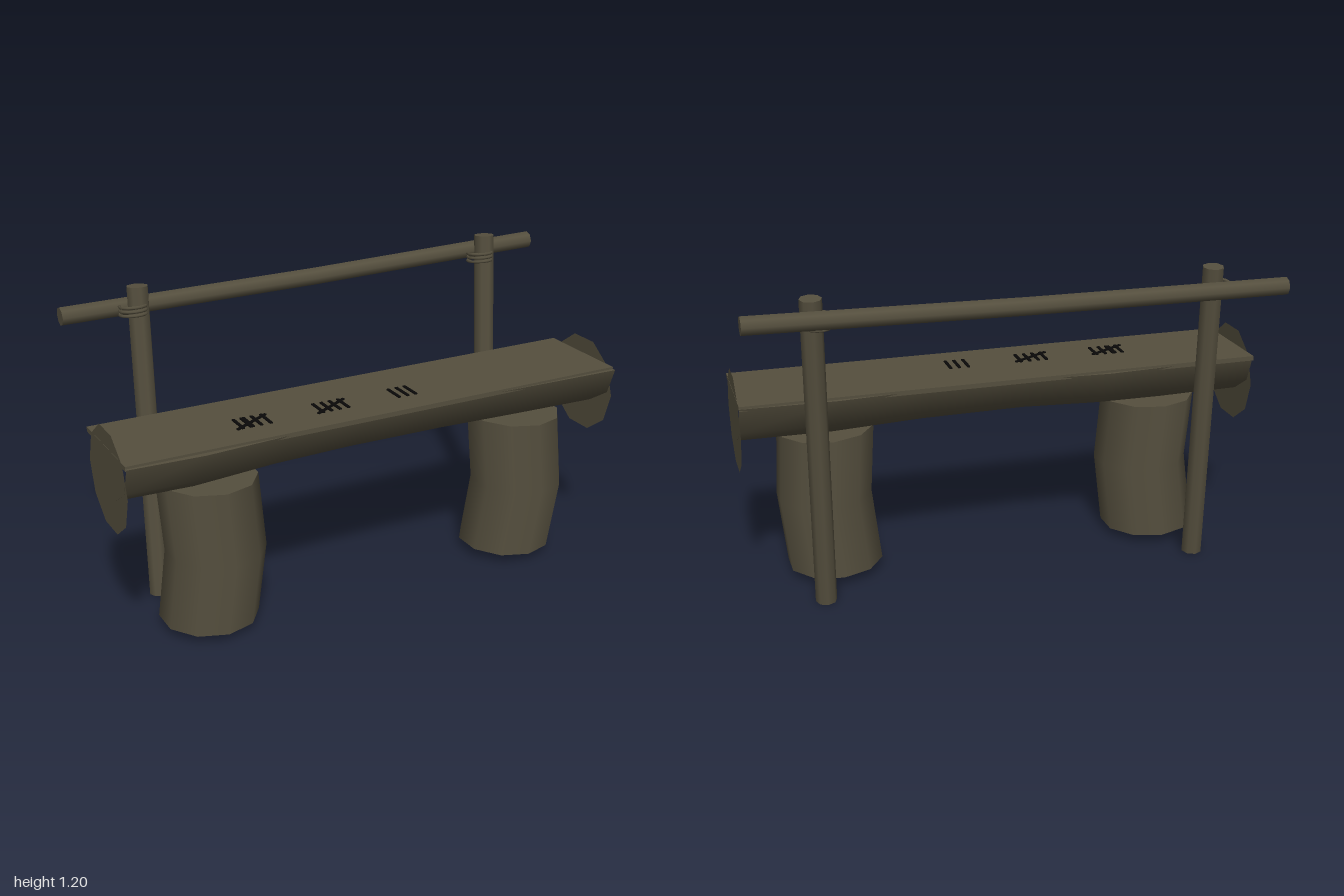
import * as THREE from 'three';

const wood = new THREE.MeshStandardMaterial({ color: 0x554f3e });
wood.name = 'weatheredWood';
const woodThin = new THREE.MeshStandardMaterial({ color: 0x554f3e, side: THREE.DoubleSide });
woodThin.name = 'weatheredWoodThin';
const charcoal = new THREE.MeshStandardMaterial({ color: 0x0a0908 });
charcoal.name = 'charcoal';

const V = (x, y, z) => new THREE.Vector3(x, y, z);

function add(parent, name, geometry, material = wood) {
  const mesh = new THREE.Mesh(geometry, material);
  mesh.name = name;
  parent.add(mesh);
  return mesh;
}

// Cylinder with a middle ring pushed sideways, so the log looks crooked
function crookedLog(length, radius, sides, bend) {
  const g = new THREE.CylinderGeometry(radius, radius, length, sides, 2);
  const p = g.attributes.position;
  for (let i = 0; i < p.count; i++) {
    const k = 1 - Math.abs(p.getY(i)) / (length / 2);
    p.setX(i, p.getX(i) + bend[0] * k);
    p.setZ(i, p.getZ(i) + bend[1] * k);
  }
  return g;
}

// Stand a mesh between two end points
function span(mesh, a, b) {
  mesh.position.copy(a).add(b).multiplyScalar(0.5);
  mesh.quaternion.setFromUnitVectors(V(0, 1, 0), b.clone().sub(a).normalize());
  return mesh;
}

// Round underside of the split log: half a decagon swept through uneven rings
function halfLog() {
  // x, front edge z, back edge z, bottom y
  const rings = [
    [-1, 0.322, -0.07, 0.592], [-0.72, 0.334, -0.075, 0.588], [-0.4, 0.312, -0.092, 0.597],
    [-0.1, 0.306, -0.07, 0.605], [0.3, 0.307, -0.07, 0.602], [0.65, 0.317, -0.093, 0.592],
    [1, 0.327, -0.08, 0.59],
  ];
  const steps = 5, pos = [], idx = [];
  for (const [x, front, back, bottom] of rings) {
    const mid = (front + back) / 2, half = (front - back) / 2;
    for (let j = 0; j <= steps; j++) {
      const a = (j / steps) * Math.PI;
      pos.push(x, 0.76 - (0.76 - bottom) * Math.sin(a) / Math.sin(Math.PI * 0.4), mid + half * Math.cos(a));
    }
  }
  const n = steps + 1;
  for (let i = 0; i < rings.length - 1; i++) {
    for (let j = 0; j < steps; j++) {
      const a = i * n + j, b = a + 1, c = a + n, d = c + 1;
      idx.push(a, b, c, b, d, c);
    }
  }
  const g = new THREE.BufferGeometry();
  g.setAttribute('position', new THREE.Float32BufferAttribute(pos, 3));
  g.setIndex(idx);
  g.computeVertexNormals();

  // Uneven rim, closing the half log from above
  const edge = [...rings.map(r => [r[0], r[1]]), ...rings.map(r => [r[0], r[2]]).reverse()];
  const rim = new THREE.ShapeGeometry(new THREE.Shape(edge.map(([x, z]) => new THREE.Vector2(x, -z))));
  rim.rotateX(-Math.PI / 2).translate(0, 0.76, 0);
  return [g, rim];
}

export function createModel() {
  const model = new THREE.Group();
  model.name = 'logBench';

  // Seat: half log, flat top and round end faces
  const seat = new THREE.Group();
  seat.name = 'seat';
  model.add(seat);
  const [underside, rim] = halfLog();
  add(seat, 'seatUnderside', underside);
  add(seat, 'seatRim', rim);
  add(seat, 'seatTop', new THREE.BoxGeometry(2, 0.018, 0.39)).position.set(0, 0.76, 0.117);
  for (const s of [-1, 1]) {
    const end = add(seat, 'seatEnd', new THREE.CircleGeometry(0.194, 10), woodThin);
    end.rotation.y = s * Math.PI / 2;
    end.position.set(s * 0.999, 0.647, 0.122);
  }

  // Stump legs
  for (const [name, x0, x1] of [['rightLeg', -0.652, -0.64], ['leftLeg', 0.648, 0.665]]) {
    const leg = add(model, name, crookedLog(0.553, 0.184, 10, [0.02, 0.025]));
    span(leg, V(x0, 0.036, 0.125), V(x1, 0.588, 0.127));
  }

  // Backrest posts with rope lashings
  for (const [name, x0, x1, ropeX] of [['right', -0.74, -0.722, -0.745], ['left', 0.734, 0.755, 0.732]]) {
    const post = add(model, name + 'Post', new THREE.CylinderGeometry(0.04, 0.04, 1.195, 8));
    span(post, V(x0, 0.004, -0.151), V(x1, 1.194, -0.255));
    for (let i = 0; i < 3; i++) {
      const rope = add(model, name + 'Lashing', new THREE.TorusGeometry(0.049, 0.006, 5, 14));
      rope.rotation.x = Math.PI / 2 - 0.12;
      rope.position.set(ropeX, 1.096 + i * 0.015, -0.246);
    }
  }

  // Backrest rail
  const rail = add(model, 'backRail', crookedLog(2, 0.034, 8, [0.006, 0.003]));
  span(rail, V(-1, 1.11, -0.295), V(1, 1.133, -0.304));

  // Tally marks on the seat
  const tally = new THREE.Group();
  tally.name = 'tallyMarks';
  model.add(tally);
  const mark = (xa, za, xb, zb) => {
    const g = new THREE.BoxGeometry(Math.hypot(xb - xa, zb - za), 0.008, 0.011);
    const m = add(tally, 'tallyMark', g, charcoal);
    m.position.set((xa + xb) / 2, 0.77, (za + zb) / 2);
    m.rotation.y = -Math.atan2(zb - za, xb - xa);
  };
  for (const x of [-0.525, -0.495, -0.487, -0.455, -0.418, -0.21, -0.177, -0.143, -0.108, 0.104, 0.14, 0.174]) {
    mark(x, 0.112, x, 0.203);
  }
  mark(-0.548, 0.202, -0.402, 0.118);
  mark(-0.232, 0.202, -0.086, 0.118);

  return model;
}
